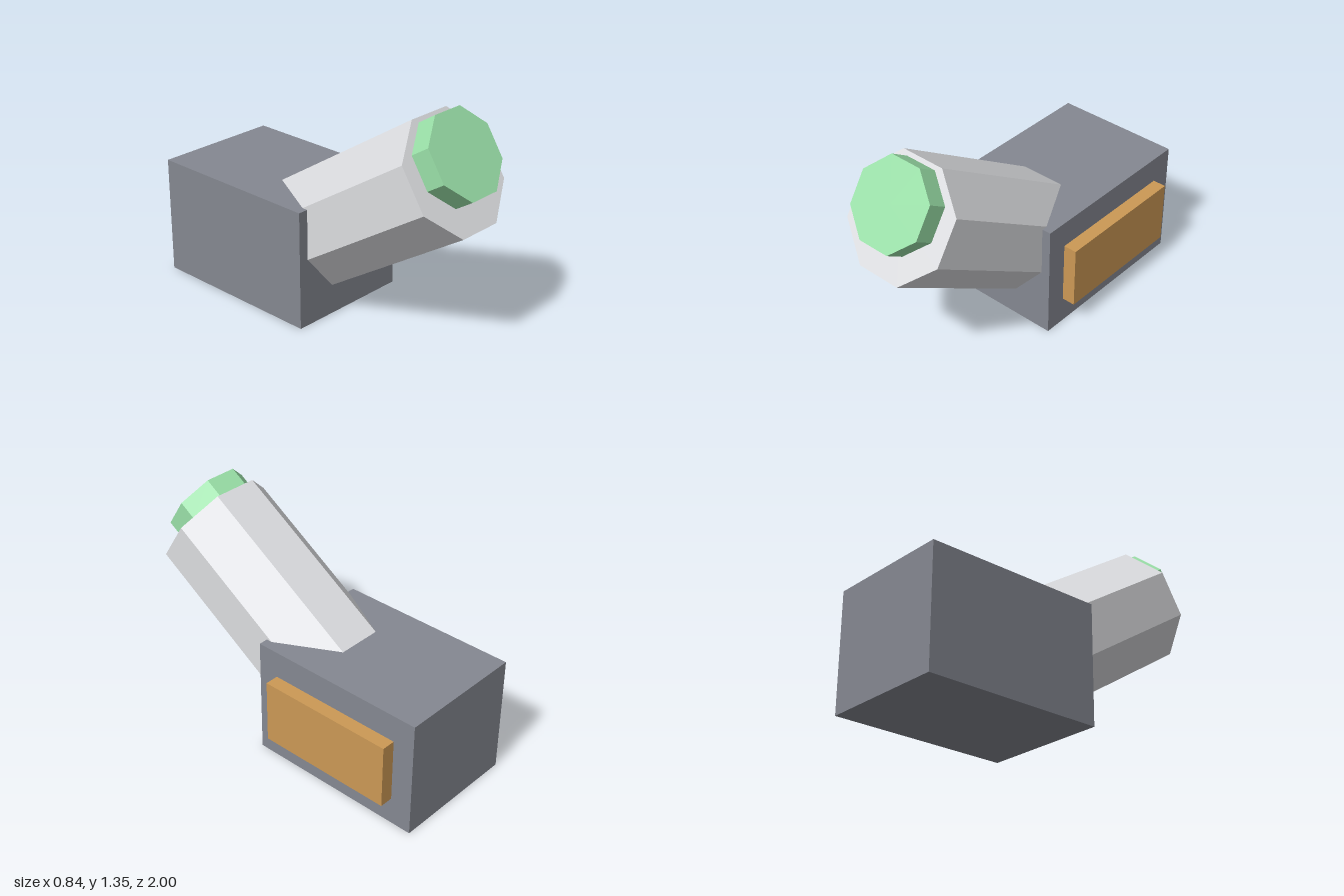
import * as THREE from 'three';

const material = (name, color) => {
  const m = new THREE.MeshStandardMaterial({ color, flatShading: true });
  m.name = name;
  return m;
};

export function createModel() {
  const model = new THREE.Group();
  const grey = material('housing grey', 0x858891);
  const silver = material('barrel silver', 0xdcdde0);
  const green = material('lens green', 0x9ae0a8);
  const orange = material('panel orange', 0xcc9955);

  const add = (parent, name, geometry, mat, x, y, z) => {
    const mesh = new THREE.Mesh(geometry, mat);
    mesh.name = name;
    mesh.position.set(x, y, z);
    parent.add(mesh);
  };
  // Octagonal prism with flats facing the sides, sized by its half width
  const prism = (halfWidth, length) => {
    const r = halfWidth / Math.cos(Math.PI / 8);
    return new THREE.CylinderGeometry(r, r, length, 8, 1, false, Math.PI / 8);
  };

  // Housing and the raised panel on its left side
  add(model, 'housing', new THREE.BoxGeometry(0.765, 0.702, 1.08), grey, -0.0425, 0.351, -0.46);
  add(model, 'sidePanel', new THREE.BoxGeometry(0.085, 0.38, 0.825), orange, 0.3775, 0.353, -0.458);

  // Tilted barrel group, with its origin at the centre of the muzzle face
  const barrel = new THREE.Group();
  barrel.name = 'barrelAssembly';
  barrel.position.set(-0.04, 1.033, 0.808);
  barrel.rotation.x = THREE.MathUtils.degToRad(57.2);
  model.add(barrel);
  add(barrel, 'barrel', prism(0.325, 1.25), silver, 0, -0.625, 0);

  // Lens cap sits slightly above the barrel axis
  add(barrel, 'lensCap', prism(0.235, 0.122), green, 0, 0.061, -0.064);

  return model;
}
